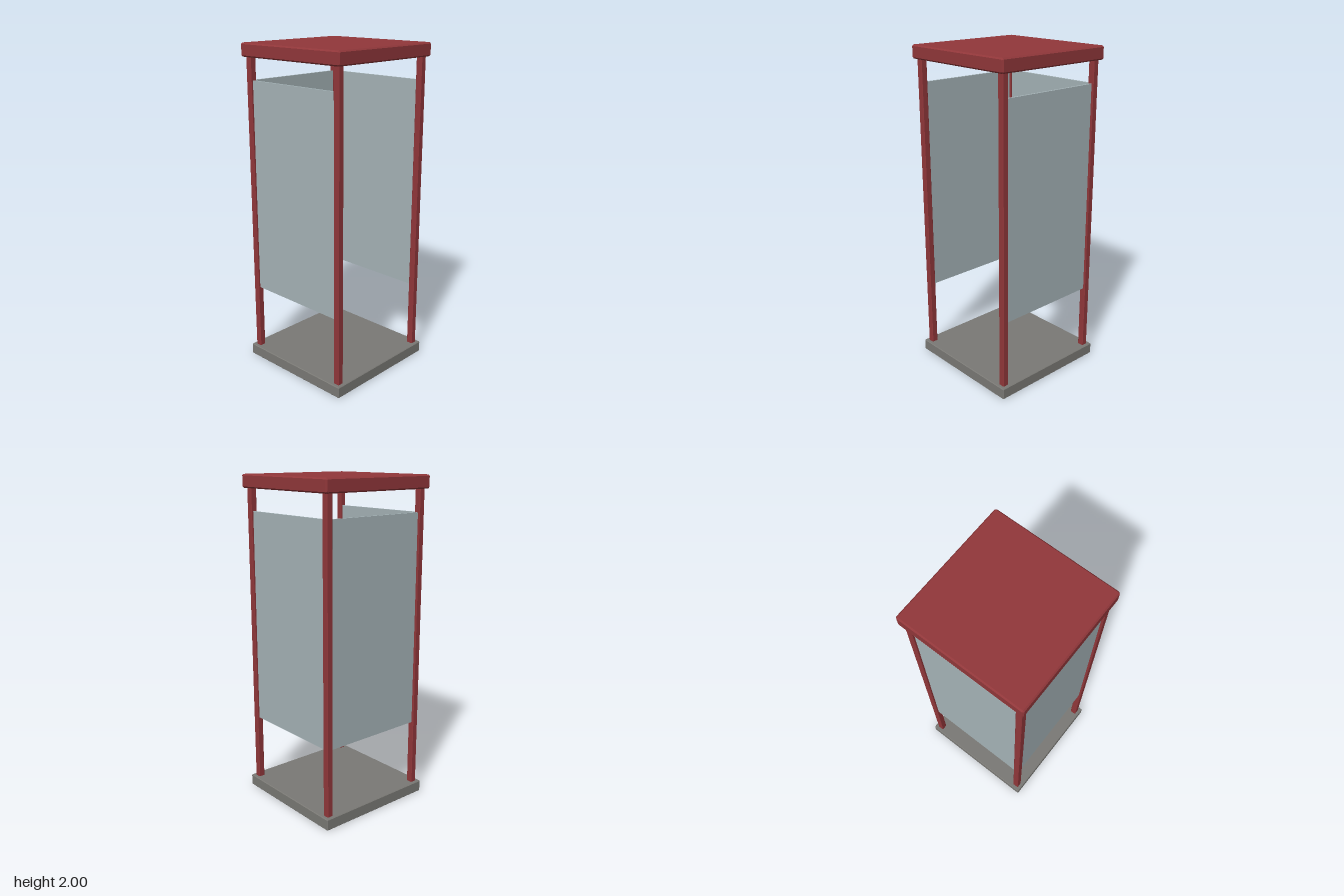
import * as THREE from 'three';

const paint = (color) => new THREE.MeshStandardMaterial({ color, flatShading: true });

// Box with small 45 degree chamfers on every edge, centred on the origin
function chamferBox(w, h, d, c) {
  const x = w / 2 - c, y = h / 2 - c, s = new THREE.Shape();
  s.moveTo(-x, -y - c);
  s.lineTo(x, -y - c);
  s.lineTo(x + c, -y);
  s.lineTo(x + c, y);
  s.lineTo(x, y + c);
  s.lineTo(-x, y + c);
  s.lineTo(-x - c, y);
  s.lineTo(-x - c, -y);
  s.closePath();
  return new THREE.ExtrudeGeometry(s, {
    depth: d - 2 * c, bevelEnabled: true, bevelSize: c, bevelOffset: -c, bevelThickness: c, bevelSegments: 1,
  }).translate(0, 0, c - d / 2);
}

export function createModel() {
  const group = new THREE.Group();
  const red = paint(0x91373a), concrete = paint(0x7a7975), glass = paint(0xa5b3b7);
  const steel = paint(0x707376), dark = paint(0x4c535a), green = paint(0x2c9c58), black = paint(0x20262b);

  const add = (name, geometry, material, x, y, z) => {
    const mesh = new THREE.Mesh(geometry, material);
    mesh.name = name;
    mesh.position.set(x, y, z);
    group.add(mesh);
    return mesh;
  };

  // Floor slab and roof
  add('base', chamferBox(0.78, 0.07, 0.78, 0.004), concrete, 0, 0.035, 0);
  add('roof', chamferBox(0.78, 0.08, 0.78, 0.008), red, 0, 1.96, 0);

  // Corner posts, running from the ground into the roof
  const post = chamferBox(0.04, 1.94, 0.04, 0.004);
  for (const x of [-0.349, 0.349])
    for (const z of [-0.349, 0.349]) add('cornerPost', post, red, x, 0.97, z);

  // Side and back panels between the posts; the front stays open
  const panel = new THREE.BoxGeometry(0.67, 1.305, 0.014);
  add('backPanel', panel, glass, 0, 1.133, -0.349);
  add('leftPanel', panel, glass, 0.349, 1.133, 0).rotation.y = Math.PI / 2;
  add('rightPanel', panel, glass, -0.349, 1.133, 0).rotation.y = Math.PI / 2;

  // Telephone on the back panel
  add('phoneBody', chamferBox(0.43, 0.43, 0.125, 0.015), steel, 0, 1.135, -0.28);
  add('display', new THREE.BoxGeometry(0.26, 0.1, 0.012), green, 0, 1.263, -0.217);
  add('handset', chamferBox(0.036, 0.185, 0.07, 0.008), dark, -0.218, 1.135, -0.256);

  // Straight cord hanging from the lower corner
  const cord = new THREE.LineCurve3(new THREE.Vector3(0.17, 0.96, -0.213), new THREE.Vector3(0.258, 0.79, -0.213));
  add('cord', new THREE.TubeGeometry(cord, 1, 0.005, 8), black, 0, 0, 0);

  return group;
}
